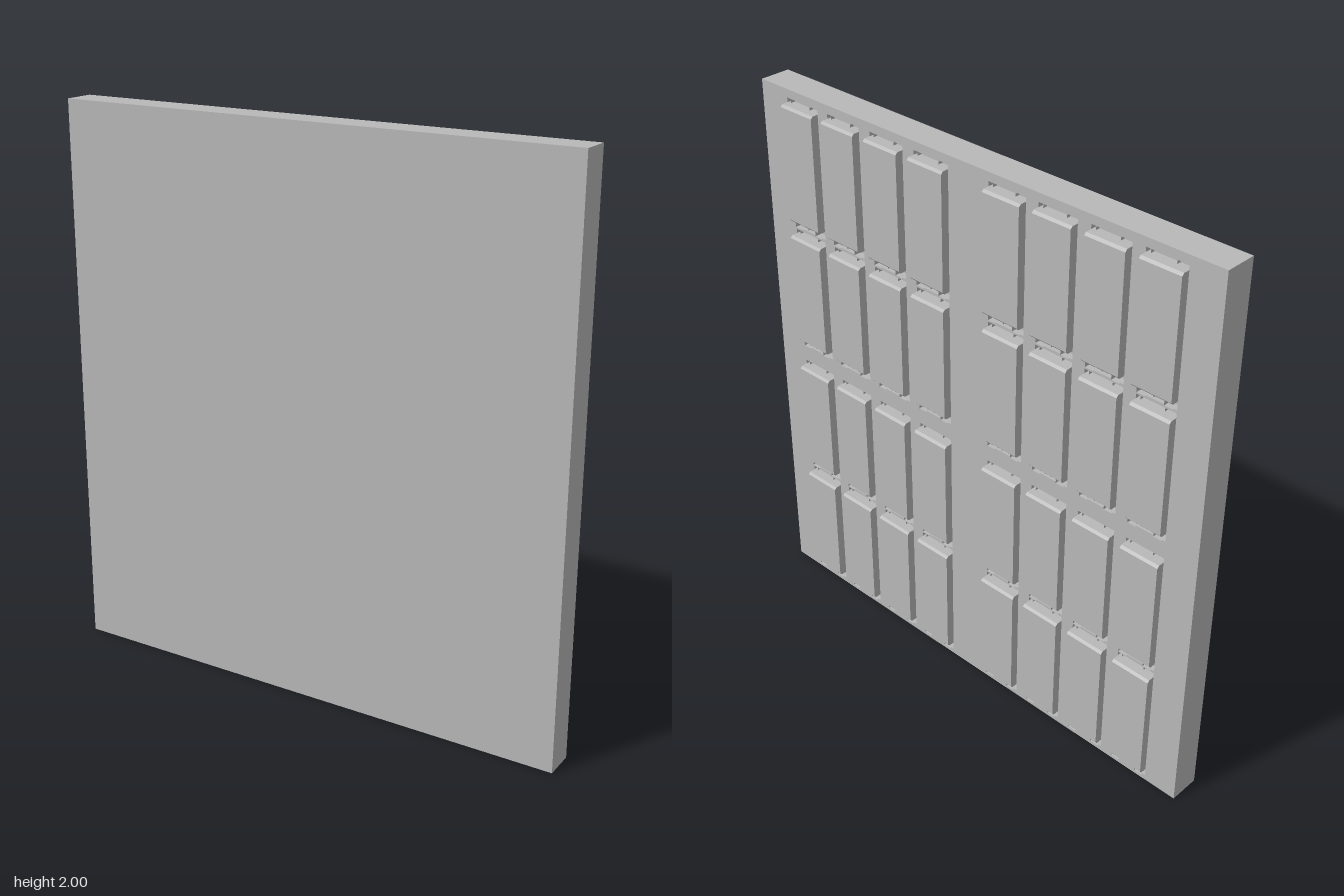
import * as THREE from 'three';

const grey = new THREE.MeshStandardMaterial({ color: 0xb8b8b8 });
grey.name = 'plain grey';

const HALF_W = 0.945, HEIGHT = 2;
const FLOOR = -0.02, BACK = -0.04, OUTER = -0.07; // pocket floor, panel back, module face
const MODULE_W = 0.148;
const COLUMNS = [0.158, 0.355, 0.552, 0.747].flatMap((x) => [-x, x]);
const ROWS = [[0.05, 0.472], [0.528, 0.947], [1.058, 1.477], [1.533, 1.954]];

function box(name, w, h, z0, z1, x, y) {
  const mesh = new THREE.Mesh(new THREE.BoxGeometry(w, h, z1 - z0), grey);
  mesh.name = name;
  mesh.position.set(x, y, (z0 + z1) / 2);
  return mesh;
}

function rect(target, x0, y0, x1, y1) {
  target.moveTo(x0, y0).lineTo(x1, y0).lineTo(x1, y1).lineTo(x0, y1).closePath();
  return target;
}

// Back layer of the panel, with one shallow pocket per module
function backFrame() {
  const shape = rect(new THREE.Shape(), -HALF_W, 0, HALF_W, HEIGHT);
  for (const x of COLUMNS) {
    for (const [y0, y1] of ROWS) {
      const w = MODULE_W / 2;
      shape.holes.push(rect(new THREE.Path(), x - w, y0 - 0.03, x + w, y1 + 0.016));
    }
  }
  const geometry = new THREE.ExtrudeGeometry(shape, { depth: FLOOR - BACK, bevelEnabled: false });
  const mesh = new THREE.Mesh(geometry, grey);
  mesh.name = 'backFrame';
  mesh.position.z = BACK;
  return mesh;
}

// Module body: side profile with chamfered outer edges, swept across its width
function moduleBody(h) {
  const c = 0.008;
  const profile = new THREE.Shape();
  profile.moveTo(-FLOOR, 0).lineTo(-OUTER - c, 0).lineTo(-OUTER, c)
    .lineTo(-OUTER, h - c).lineTo(-OUTER - c, h).lineTo(-FLOOR, h).closePath();
  const geometry = new THREE.ExtrudeGeometry(profile, { depth: MODULE_W, bevelEnabled: false });
  geometry.translate(0, 0, -MODULE_W / 2).rotateY(Math.PI / 2);
  const mesh = new THREE.Mesh(geometry, grey);
  mesh.name = 'moduleBody';
  return mesh;
}

function createModule(h) {
  const g = new THREE.Group();
  g.name = 'module';
  g.add(moduleBody(h));
  // Latch feet below the body
  for (const s of [-1, 1]) {
    g.add(box('latchFoot', 0.03, 0.026, FLOOR, -0.05, s * 0.05, -0.013));
    g.add(box('topClip', 0.03, 0.01, FLOOR, -0.036, s * 0.045, h + 0.005));
  }
  g.add(box('latchBar', 0.07, 0.012, FLOOR, -0.046, 0, -0.006));
  g.add(box('latchPin', 0.022, 0.024, FLOOR, -0.04, 0, -0.012));
  return g;
}

export function createModel() {
  const model = new THREE.Group();
  model.name = 'modulePanel';
  model.add(box('frontPanel', HALF_W * 2, HEIGHT, FLOOR, 0.072, 0, HEIGHT / 2));
  model.add(backFrame());
  for (const x of COLUMNS) {
    for (const [y0, y1] of ROWS) {
      const unit = createModule(y1 - y0);
      unit.position.set(x, y0, 0);
      model.add(unit);
    }
  }
  return model;
}
